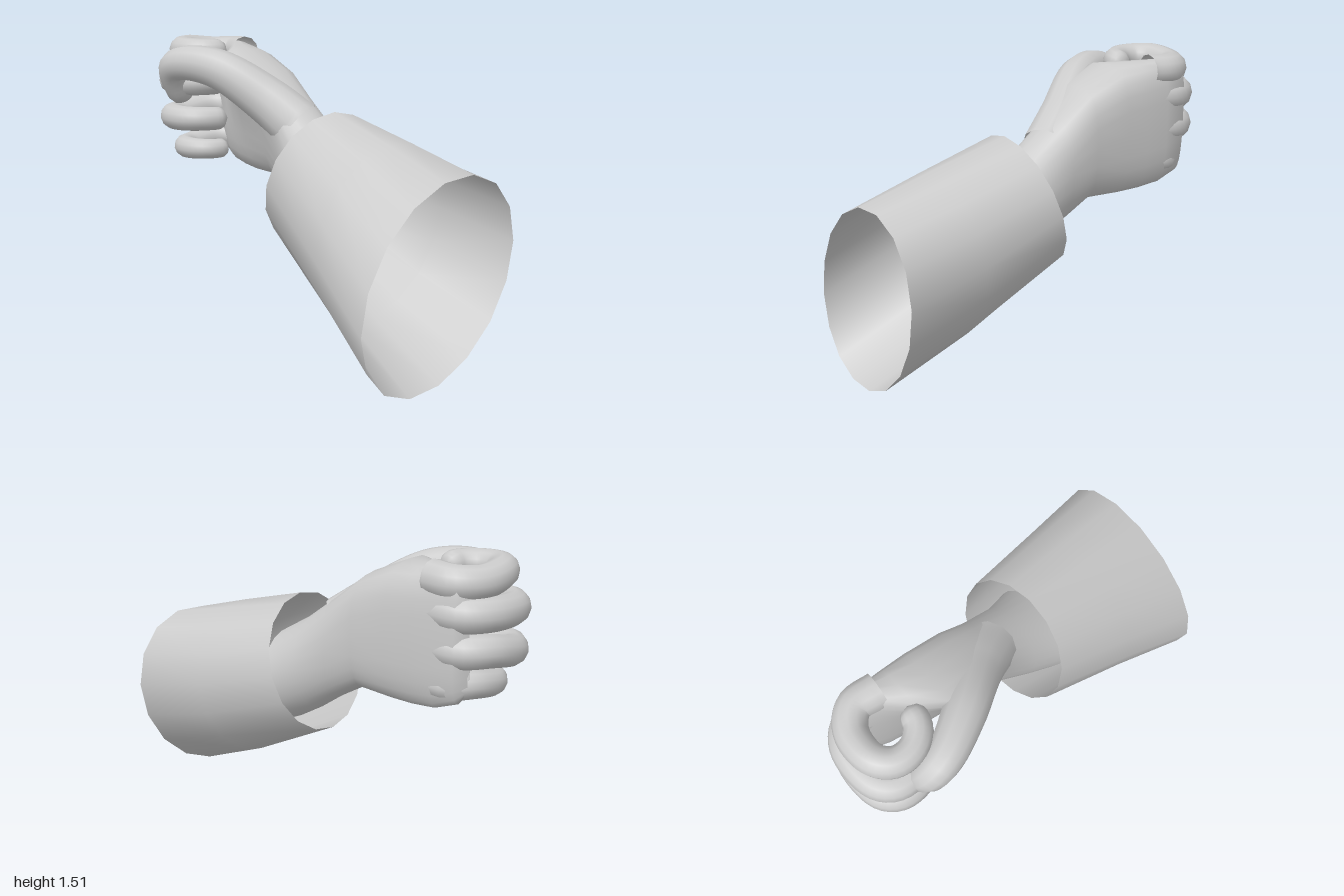
import * as THREE from 'three';
import { mergeVertices } from 'three/addons/utils/BufferGeometryUtils.js';

const material = new THREE.MeshStandardMaterial({ color: 0xcccccc, side: THREE.DoubleSide });

function addMesh(group, name, geometry) {
  const mesh = new THREE.Mesh(geometry, material);
  mesh.name = name;
  group.add(mesh);
}

// Skin through rounded rings that run from +z to -z.
// skew leans the ring, tilt slants it in z, square boxes its corners,
// web pulls its upper right-hand corner towards the thumb.
function loft(rings, sides) {
  const pos = [], index = [];
  const soft = (v, e) => Math.sign(v) * Math.abs(v) ** e;
  for (const { z, c, r, skew = 0, tilt = 0, square = 1, web = 0 } of rings) {
    for (let j = 0; j < sides; j++) {
      const a = (j / sides) * Math.PI * 2;
      const pull = web * Math.max(0, Math.cos(a - 2.2)) ** 3;
      pos.push(
        c[0] + r[0] * soft(Math.cos(a), square) - pull,
        c[1] + r[1] * soft(Math.sin(a + skew), square) + pull * 0.1,
        z + tilt * Math.sin(a));
    }
  }
  for (let i = 0; i < rings.length - 1; i++) {
    for (let j = 0; j < sides; j++) {
      const a = i * sides + j, b = i * sides + (j + 1) % sides;
      index.push(a, a + sides, b, b, a + sides, b + sides);
    }
  }
  const g = new THREE.BufferGeometry();
  g.setAttribute('position', new THREE.Float32BufferAttribute(pos, 3));
  g.setIndex(index);
  g.computeVertexNormals();
  return g;
}

// Tapered tube with a rounded tip
function digit(points, r0, r1) {
  const curve = new THREE.CatmullRomCurve3(points.map(p => new THREE.Vector3(...p)));
  const segs = 40, sides = 12, length = curve.getLength();
  const g = new THREE.TubeGeometry(curve, segs, 1, sides);
  const pos = g.attributes.position, v = new THREE.Vector3();
  for (let i = 0; i <= segs; i++) {
    const t = i / segs, centre = curve.getPointAt(t);
    const r = r0 + (r1 - r0) * t;
    const k = Math.max(0, 1 - (1 - t) * length / r);
    const radius = r * Math.sqrt(1 - k * k);
    for (let j = 0; j <= sides; j++) {
      const n = i * (sides + 1) + j;
      v.fromBufferAttribute(pos, n).sub(centre).multiplyScalar(radius).add(centre);
      pos.setXYZ(n, v.x, v.y, v.z);
    }
  }
  g.deleteAttribute('uv');
  g.deleteAttribute('normal');
  const merged = mergeVertices(g, 1e-4);
  merged.computeVertexNormals();
  return merged;
}

export function createModel() {
  const group = new THREE.Group();
  group.name = 'fistAndSleeve';

  // Wide open sleeve with a slanted cuff
  addMesh(group, 'sleeve', loft([
    { z: 1, c: [0, 0.49], r: [0.48, 0.49], skew: 0.27 },
    { z: 0.58, c: [0.02, 0.645], r: [0.41, 0.435], skew: 0.14, tilt: 0.04 },
    { z: 0.11, c: [0.03, 0.84], r: [0.34, 0.345], tilt: 0.11 },
  ], 16));

  // Open forearm, wrist and flat hand up to the knuckles
  addMesh(group, 'forearmAndPalm', loft([
    { z: 0.26, c: [0.035, 0.745], r: [0.235, 0.24], tilt: 0.04 },
    { z: 0.1, c: [0.035, 0.84], r: [0.19, 0.245], tilt: 0.03 },
    { z: -0.08, c: [0.05, 0.97], r: [0.15, 0.27], square: 0.9, web: 0.04 },
    { z: -0.24, c: [0.06, 1.08], r: [0.135, 0.285], square: 0.8, web: 0.12 },
    { z: -0.44, c: [0.075, 1.12], r: [0.12, 0.33], square: 0.75, web: 0.17 },
    { z: -0.57, c: [0.09, 1.13], r: [0.11, 0.335], square: 0.75, web: 0.09 },
    { z: -0.7, c: [0.105, 1.145], r: [0.095, 0.335], square: 0.75 },
    { z: -0.82, c: [0.12, 1.17], r: [0.07, 0.31], square: 0.75 },
    { z: -0.86, c: [0.11, 1.17], r: [0.01, 0.25] },
  ], 24));

  // Four fingers, each curled in a square hook back to the palm
  const fingers = [
    { name: 'indexFinger', y: 1.42, dx: 0.04, dz: 0.05, rise: 0.02, r: 0.083 },
    { name: 'middleFinger', y: 1.28, dx: 0, dz: 0.005, rise: -0.01, r: 0.086 },
    { name: 'ringFinger', y: 1.11, dx: 0, dz: 0, rise: -0.04, r: 0.083 },
    { name: 'littleFinger', y: 0.935, dx: 0.03, dz: 0.07, rise: -0.03, r: 0.072 },
  ];
  for (const { name, y, dx, dz, rise, r } of fingers) {
    addMesh(group, name, digit([
      [0.1, y, -0.64],
      [0.115, y, -0.82 + dz],
      [0.03, y, -0.905 + dz],
      [-0.17 + dx, y + rise, -0.915 + dz],
      [-0.245 + dx, y + rise, -0.85 + dz],
      [-0.25 + dx, y + rise, -0.73 + dz / 2],
      [-0.19 + dx, y + rise, -0.65 + dz / 2],
      [-0.05, y + rise, -0.6],
    ], r + 0.004, r - 0.02));
  }

  // Thumb rising from the wrist and bent down over the fingers
  addMesh(group, 'thumb', digit([
    [0.02, 1.08, -0.06],
    [-0.06, 1.2, -0.2],
    [-0.22, 1.36, -0.42],
    [-0.315, 1.385, -0.61],
    [-0.325, 1.35, -0.7],
    [-0.23, 1.16, -0.76],
  ], 0.14, 0.068));

  return group;
}
